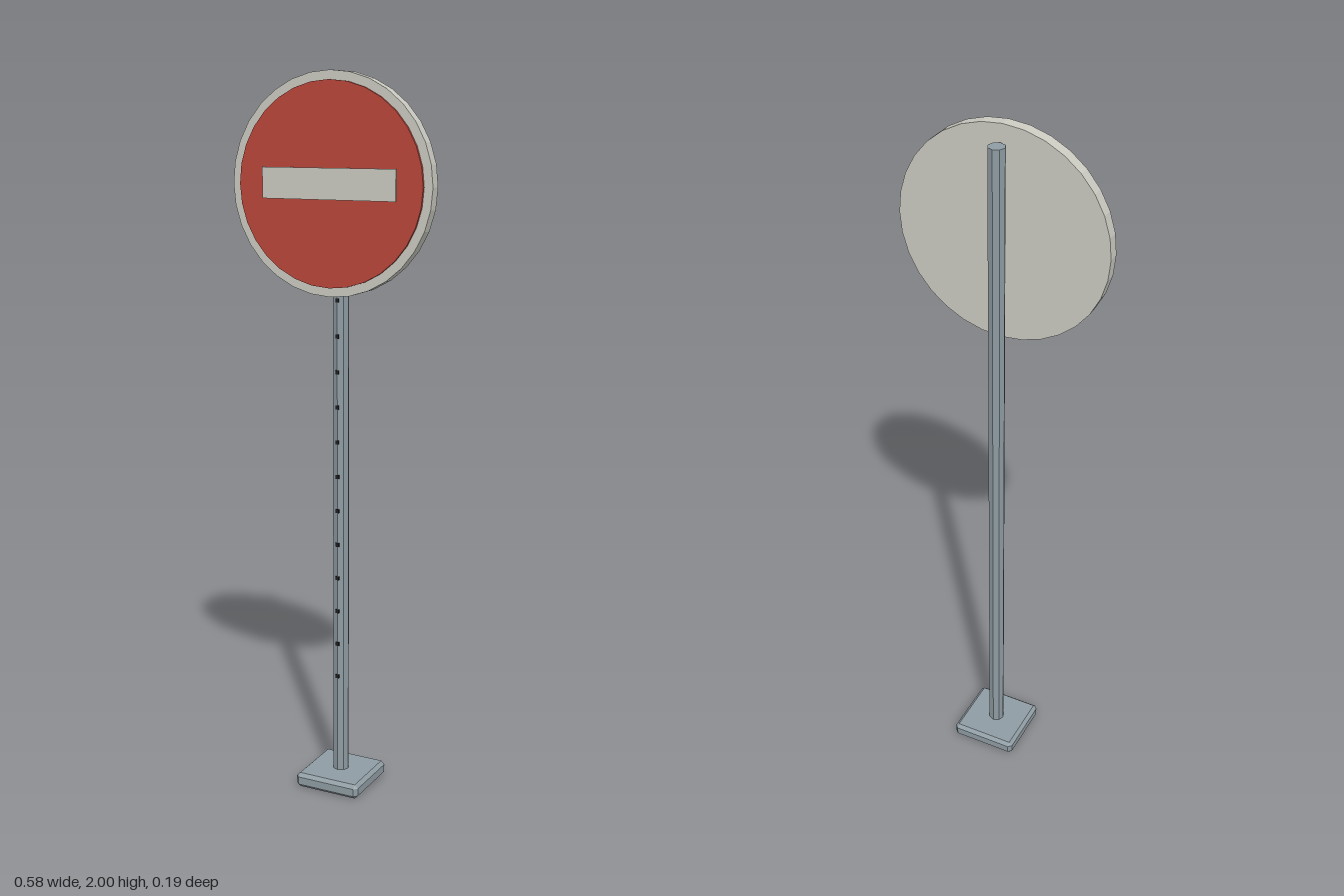
import * as THREE from 'three';
import { ConvexGeometry } from 'three/addons/geometries/ConvexGeometry.js';

function material(name, color) {
  const m = new THREE.MeshStandardMaterial({ color, flatShading: true });
  m.name = name;
  return m;
}

// Box with every edge chamfered by c
function chamferBox(w, h, d, c) {
  const points = [];
  for (const sx of [-1, 1]) for (const sy of [-1, 1]) for (const sz of [-1, 1]) {
    const x = w / 2, y = h / 2, z = d / 2;
    points.push(
      new THREE.Vector3(sx * x, sy * (y - c), sz * (z - c)),
      new THREE.Vector3(sx * (x - c), sy * y, sz * (z - c)),
      new THREE.Vector3(sx * (x - c), sy * (y - c), sz * z));
  }
  return new ConvexGeometry(points);
}

export function createModel() {
  const group = new THREE.Group();
  group.name = 'roadSign';
  const steel = material('galvanised steel', 0x8f9ca3);
  const white = material('off white', 0xcbcbc2);
  const red = material('sign red', 0xbb463b);
  const dark = material('hole dark', 0x1c1e20);

  const add = (name, geometry, mat, x, y, z) => {
    const mesh = new THREE.Mesh(geometry, mat);
    mesh.name = name;
    mesh.position.set(x, y, z);
    group.add(mesh);
    return mesh;
  };
  // Disc facing +z, between two depths
  const disc = (name, radius, z0, z1, mat) =>
    add(name, new THREE.CylinderGeometry(radius, radius, z1 - z0, 32).rotateX(Math.PI / 2),
      mat, 0, 1.708, (z0 + z1) / 2);

  // Foot plate and octagonal post
  add('basePlate', chamferBox(0.195, 0.042, 0.195, 0.01), steel, 0, 0.021, 0);
  add('post', new THREE.CylinderGeometry(0.023, 0.023, 1.925, 8), steel, 0, 0.9925, 0);

  // Row of mounting holes up the front of the post
  for (let i = 0; i < 13; i++) {
    add('postHole', new THREE.BoxGeometry(0.01, 0.011, 0.004), dark, 0, 0.33 + i * 0.0975, 0.0225);
  }

  // Sign plate, red face and raised bar
  disc('signPlate', 0.292, 0.031, 0.064, white);
  disc('redFace', 0.268, 0.06, 0.071, red);
  add('signBar', new THREE.BoxGeometry(0.39, 0.082, 0.004), white, 0, 1.712, 0.076);

  return group;
}
